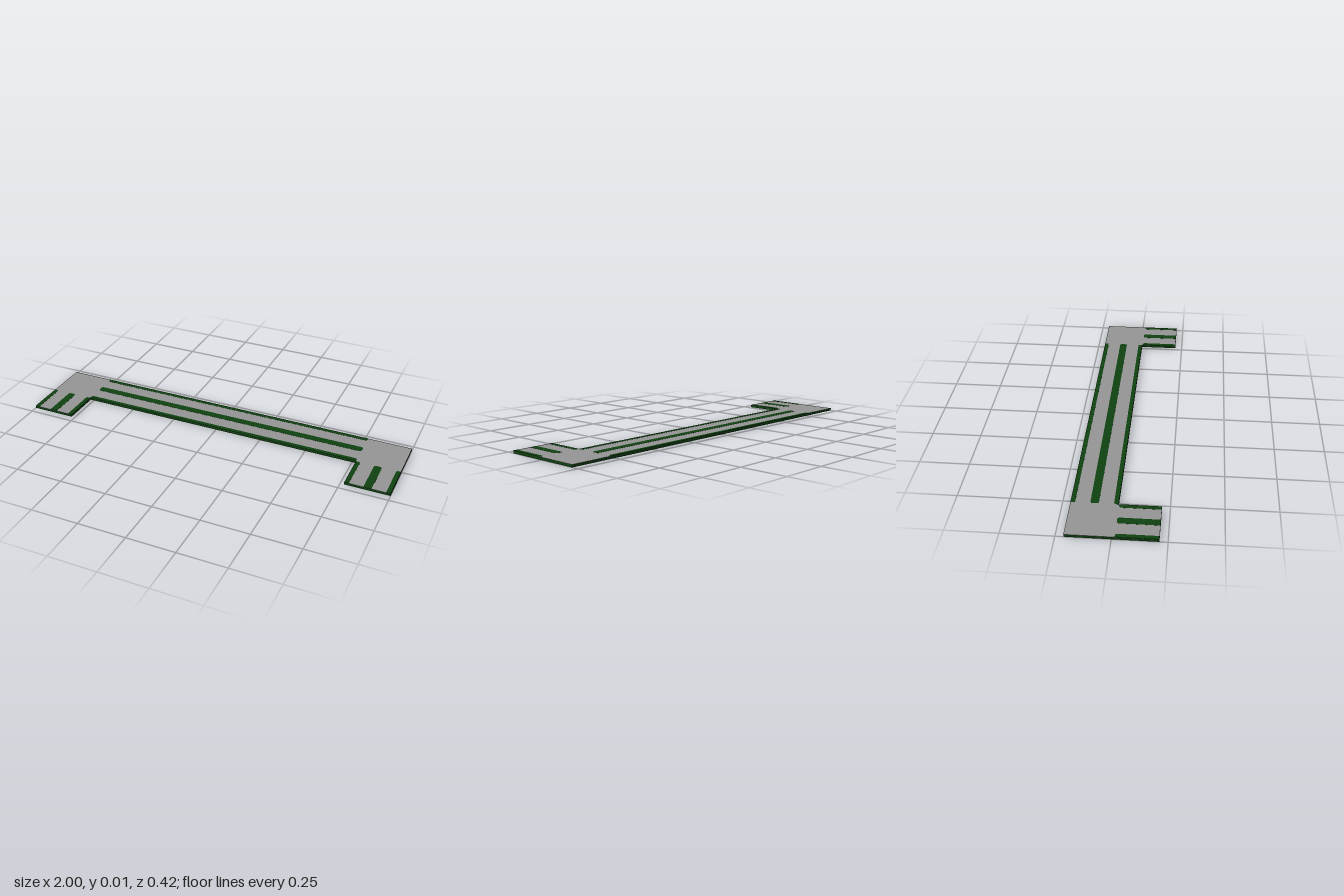
import * as THREE from 'three';

const GREEN = new THREE.MeshStandardMaterial({ color: 0x0f4210 });
GREEN.name = 'grass green';
const GREY = new THREE.MeshStandardMaterial({ color: 0x969696 });
GREY.name = 'paving grey';

const BACK = -0.212, FRONT = 0.212, INNER = 0.012, LEG = 0.77;

// Flat plate lying in xz, from a shape drawn with shape-y = -z
function plate(name, shape, bottom, top, material) {
  const geometry = new THREE.ExtrudeGeometry(shape, { depth: top - bottom, bevelEnabled: false, curveSegments: 4 });
  geometry.rotateX(-Math.PI / 2).translate(0, bottom, 0);
  const mesh = new THREE.Mesh(geometry, material);
  mesh.name = name;
  return mesh;
}

// U-shaped outline: a long back run with a short leg at each end
function outline() {
  const points = [[-1, FRONT], [-LEG, FRONT], [-LEG, INNER], [LEG, INNER], [LEG, FRONT], [1, FRONT], [1, BACK], [-1, BACK]];
  return new THREE.Shape(points.map(([x, z]) => new THREE.Vector2(x, -z)));
}

// Rectangle whose corners are rounded: back-left, back-right, front-right, front-left
function strip(x0, x1, z0, z1, [bl, br, fr, fl]) {
  const s = new THREE.Shape();
  s.moveTo(x0 + fl, -z1);
  s.lineTo(x1 - fr, -z1);
  s.quadraticCurveTo(x1, -z1, x1, -z1 + fr);
  s.lineTo(x1, -z0 - br);
  s.quadraticCurveTo(x1, -z0, x1 - br, -z0);
  s.lineTo(x0 + bl, -z0);
  s.quadraticCurveTo(x0, -z0, x0, -z0 - bl);
  s.lineTo(x0, -z1 + fl);
  s.quadraticCurveTo(x0, -z1, x0 + fl, -z1);
  return s;
}

export function createModel() {
  const group = new THREE.Group();
  group.name = 'pathSection';

  // Green base slab and its grey surface
  group.add(plate('baseSlab', outline(), 0, 0.0125, GREEN));
  group.add(plate('pavedSurface', outline(), 0.0125, 0.0132, GREY));

  const r = 0.012;
  const addStrip = (name, ...args) => group.add(plate(name, strip(...args), 0.0132, 0.0138, GREEN));

  // Strips along the long run
  addStrip('backEdgeStrip', -LEG, LEG, BACK, -0.19, [0, 0, r, r]);
  addStrip('middleStrip', -LEG, LEG, -0.12, -0.08, [r, r, r, r]);
  addStrip('frontEdgeStrip', -LEG, LEG, -0.01, INNER, [r, r, 0, 0]);

  // Strips along each leg
  for (const [side, x] of [['right', -1], ['left', LEG]]) {
    addStrip(side + 'LegNearStrip', x, x + 0.023, 0.015, FRONT, [0, r, 0, 0]);
    addStrip(side + 'LegMiddleStrip', x + 0.095, x + 0.135, 0.015, FRONT, [r, r, 0, 0]);
    addStrip(side + 'LegFarStrip', x + 0.207, x + 0.23, 0.015, FRONT, [r, 0, 0, 0]);
  }
  return group;
}
